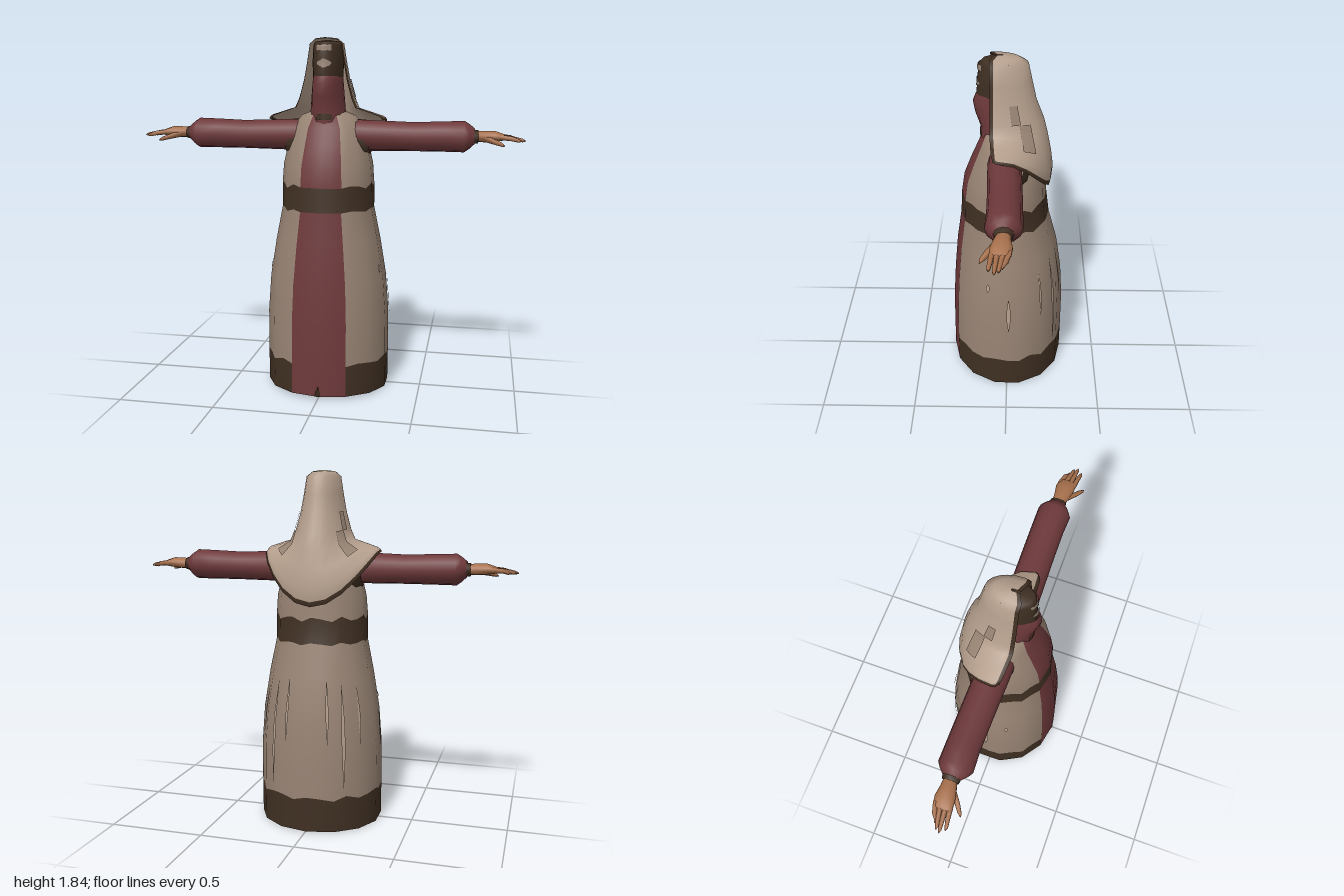
import * as THREE from 'three';

const mat = (name, color) => new THREE.MeshStandardMaterial({ name, color, side: THREE.DoubleSide });
const V = (x, y, z) => new THREE.Vector3(x, y, z);

// Surface through rows of points; pick(i, j) gives the material index of each quad.
function loft(name, rows, materials, pick = () => 0, closed = true) {
  const n = rows[0].length, cols = closed ? n : n - 1;
  const buckets = materials.map(() => []);
  for (let i = 0; i < rows.length - 1; i++) {
    for (let j = 0; j < cols; j++) {
      const k = (j + 1) % n;
      const a = i * n + j, b = i * n + k, c = a + n, d = b + n;
      buckets[pick(i, j)].push(a, b, d, a, d, c);
    }
  }
  const geo = new THREE.BufferGeometry().setFromPoints(rows.flat());
  geo.setIndex(buckets.flat());
  let start = 0;
  buckets.forEach((b, m) => { geo.addGroup(start, b.length, m); start += b.length; });
  geo.computeVertexNormals();
  const mesh = new THREE.Mesh(geo, materials.length > 1 ? materials : materials[0]);
  mesh.name = name;
  return mesh;
}

// Upright section: [y, half width, front z, back z]; angle 0 is the front.
function sectionPoint([y, w, f, b], a, off = 0) {
  const c = Math.cos(a), s = Math.sin(a);
  return V((w + off) * s, y, c > 0 ? (f + off) * c : (off - b) * c);
}
const ring = (sec, n) => Array.from({ length: n }, (_, j) => sectionPoint(sec, j / n * Math.PI * 2));
function sectionAt(profile, y) {
  let i = 0;
  while (i < profile.length - 2 && profile[i + 1][0] < y) i++;
  const p = profile[i], q = profile[i + 1], t = (y - p[0]) / (q[0] - p[0]);
  return p.map((v, k) => v + (q[k] - v) * t);
}

// Thin lens or strip lying on a profile surface.
function patch(name, profile, deg, halfDeg, y0, y1, material, off = 0.005, lens = true) {
  const rows = [];
  for (let i = 0; i <= 6; i++) {
    const t = i / 6, h = halfDeg * (lens ? Math.sin(Math.PI * t) + 0.08 : 1);
    const sec = sectionAt(profile, y0 + (y1 - y0) * t);
    rows.push([-1, -0.5, 0, 0.5, 1].map(k => sectionPoint(sec, (deg + k * h) * Math.PI / 180, off)));
  }
  return loft(name, rows, [material], () => 0, false);
}

// Limb along x: sections of [x, centre y, centre z, radius y, radius z].
function limb(name, sections, material, n = 10) {
  return loft(name, sections.map(([x, y, z, ry, rz]) => Array.from({ length: n }, (_, j) => {
    const a = j / n * Math.PI * 2;
    return V(x, y + ry * Math.cos(a), z + rz * Math.sin(a));
  })), [material]);
}

export function createModel() {
  const beige = mat('robeBeige', 0x988474), cream = mat('hoodCream', 0xb59f8d);
  const dark = mat('trimBrown', 0x3f2f22), red = mat('burgundy', 0x6e393b), skin = mat('skin', 0xa8714d);
  const model = new THREE.Group();
  model.name = 'robedFigure';

  // Robe: front panel, hem and belt are bands of one open shell
  const robe = [
    [0.005, 0.325, 0.305, -0.305], [0.18, 0.326, 0.305, -0.306], [0.4, 0.325, 0.3, -0.305],
    [0.6, 0.31, 0.287, -0.292], [0.8, 0.277, 0.268, -0.262], [0.97, 0.243, 0.243, -0.216],
    [1.095, 0.243, 0.236, -0.2], [1.2, 0.235, 0.22, -0.2], [1.3, 0.212, 0.182, -0.19],
    [1.39, 0.188, 0.143, -0.16], [1.45, 0.14, 0.115, -0.12], [1.48, 0.06, 0.06, -0.05],
  ];
  const ragged = { 1: 0.012, 5: 0.008, 6: 0.014 };
  const robeRows = robe.map((sec, i) => {
    const corners = ring(sec, 14), row = [];
    corners.forEach((p, j) => row.push(p, p.clone().lerp(corners[(j + 1) % 14], 0.5)));
    row.forEach((p, j) => {
      if (i === 0) p.y += 0.015 * Math.max(0, p.z / 0.305);
      else if (j > 2 && j < 26) p.y += (ragged[i] || 0) * Math.sin(j * 2.3);
    });
    return row;
  });
  model.add(loft('robe', robeRows, [beige, red, dark], (i, j) => {
    if (i === 5) return 2;
    if (j < 2 || j > 25) return 1;
    return i === 0 ? 2 : 0;
  }));

  // Worn streaks around the back and sides of the skirt
  for (const s of [-1, 1]) {
    for (const [deg, h, y0, y1] of [[160, 1.3, 0.47, 0.8], [145, 1.7, 0.24, 0.78], [127, 1.3, 0.46, 0.75],
      [92, 2, 0.4, 0.61], [70, 2, 0.64, 0.69]]) {
      model.add(patch('skirtStreak', robe, s * deg, h, y0, y1, cream));
    }
  }
  // Small notch at the bottom of the front panel
  const notch = new THREE.Mesh(new THREE.ConeGeometry(0.018, 0.08, 3), dark);
  notch.name = 'hemNotch';
  notch.scale.z = 0.2;
  notch.position.set(0, 0.06, 0.304);
  model.add(notch);

  // Covered face and veil
  const face = [[1.6, 0.07, 0.14, -0.03], [1.65, 0.078, 0.15, -0.03], [1.72, 0.08, 0.143, -0.04],
    [1.8, 0.076, 0.138, -0.04], [1.82, 0.068, 0.122, -0.03], [1.828, 0.01, 0.03, -0.01]];
  model.add(loft('face', face.map(s => ring(s, 14)), [dark]));
  model.add(patch('browPatch', face, 0, 30, 1.775, 1.803, beige, 0.004, false));
  model.add(patch('cheekPatch', face, 0, 26, 1.69, 1.735, beige, 0.004));
  const veil = [[1.38, 0.1, 0.135, -0.02], [1.47, 0.092, 0.132, -0.02], [1.55, 0.085, 0.158, -0.02],
    [1.61, 0.08, 0.168, -0.02], [1.65, 0.076, 0.152, -0.02]];
  model.add(loft('veil', veil.map(s => ring(s, 14)), [red]));
  model.add(patch('collarPatch', veil, 0, 24, 1.43, 1.46, dark, 0.004, false));

  // Hood and shoulder cape: [half width, front z, back z, side y, back y], hem to crown
  const hood = [
    [0.31, 0.035, -0.218, 1.43, 1.16], [0.303, 0.035, -0.224, 1.442, 1.185], [0.29, 0.04, -0.23, 1.45, 1.25],
    [0.235, 0.045, -0.218, 1.468, 1.34], [0.165, 0.05, -0.198, 1.49, 1.44], [0.142, 0.05, -0.178, 1.54, 1.52],
    [0.117, 0.05, -0.14, 1.63, 1.62], [0.1, 0.05, -0.118, 1.72, 1.72], [0.086, 0.05, -0.1, 1.81, 1.805],
    [0.055, 0.05, -0.06, 1.835, 1.83], [0.005, 0.03, 0.02, 1.842, 1.842],
  ];
  const hoodAngles = [68, 80, 90, 105, 120, 135, 150, 165, 180, 195, 210, 225, 240, 255, 270, 280, 292];
  const hoodPoint = ([w, f, b, ys, yb], deg, off = 0) => {
    const a = deg * Math.PI / 180, c = Math.cos(a), back = Math.max(0, -c);
    return V((w + off) * Math.sin(a), ys + (yb - ys) * back * back + off * 0.7,
      f + (c > 0 ? c * 0.09 : (f - b + off) * c));
  };
  model.add(loft('hood', hood.map(r => hoodAngles.map(d => hoodPoint(r, d))), [cream, dark],
    (i, j) => (i === 0 || j === 0 || j === 15 ? 1 : 0), false));

  // Shaded folds on the hood
  for (const s of [-1, 1]) {
    for (const [i0, i1, d0, d1] of [[5, 6, 108, 120], [3, 5, 118, 134]]) {
      const rows = [];
      for (let i = i0; i <= i1; i++) {
        rows.push([d0, (d0 + d1) / 2, d1].map(d => hoodPoint(hood[i], 180 + s * (d - 180), 0.005)));
      }
      model.add(loft('hoodFold', rows, [beige], () => 0, false));
    }
  }

  // Arms: sleeve, armhole, cuff, hand and fingers, mirrored
  for (const s of [-1, 1]) {
    const arm = new THREE.Group();
    arm.name = s > 0 ? 'leftArm' : 'rightArm';
    arm.add(limb('armhole', [[0.13, 1.32, -0.01, 0.11, 0.11], [0.2, 1.325, -0.01, 0.1, 0.1],
      [0.225, 1.34, 0, 0.08, 0.08]], dark, 12));
    arm.add(limb('sleeve', [[0.15, 1.345, 0.01, 0.082, 0.085], [0.25, 1.345, 0.01, 0.079, 0.083],
      [0.45, 1.343, 0.005, 0.074, 0.082], [0.6, 1.346, 0.003, 0.077, 0.082], [0.7, 1.347, 0.005, 0.079, 0.085],
      [0.725, 1.348, 0.005, 0.062, 0.068], [0.75, 1.35, 0.005, 0.04, 0.045]], red, 12));
    arm.add(limb('cuff', [[0.735, 1.348, 0.005, 0.036, 0.046], [0.768, 1.348, 0.005, 0.033, 0.042],
      [0.77, 1.348, 0.005, 0.02, 0.03]], dark));
    arm.add(limb('hand', [[0.76, 1.349, 0.005, 0.027, 0.033], [0.8, 1.35, 0.01, 0.029, 0.04],
      [0.85, 1.352, 0.012, 0.027, 0.05], [0.895, 1.348, 0.015, 0.016, 0.047], [0.905, 1.346, 0.015, 0.004, 0.03]], skin));
    const fingers = [[-0.022, 0.005, 0.965], [0.003, 0.02, 0.99], [0.028, 0.038, 1.0], [0.05, 0.062, 0.98]];
    fingers.forEach(([z0, z1, tip]) => arm.add(limb('finger', [
      [0.875, 1.35, z0, 0.013, 0.013], [0.93, 1.345, (z0 + z1) / 2, 0.012, 0.012],
      [tip - 0.015, 1.336, z1, 0.009, 0.009], [tip, 1.333, z1, 0.002, 0.002]], skin, 6)));
    arm.add(limb('thumb', [[0.8, 1.342, 0.03, 0.017, 0.02], [0.845, 1.33, 0.066, 0.014, 0.017],
      [0.885, 1.318, 0.093, 0.01, 0.012], [0.9, 1.312, 0.102, 0.002, 0.002]], skin, 6));
    arm.scale.x = s;
    model.add(arm);
  }
  return model;
}
